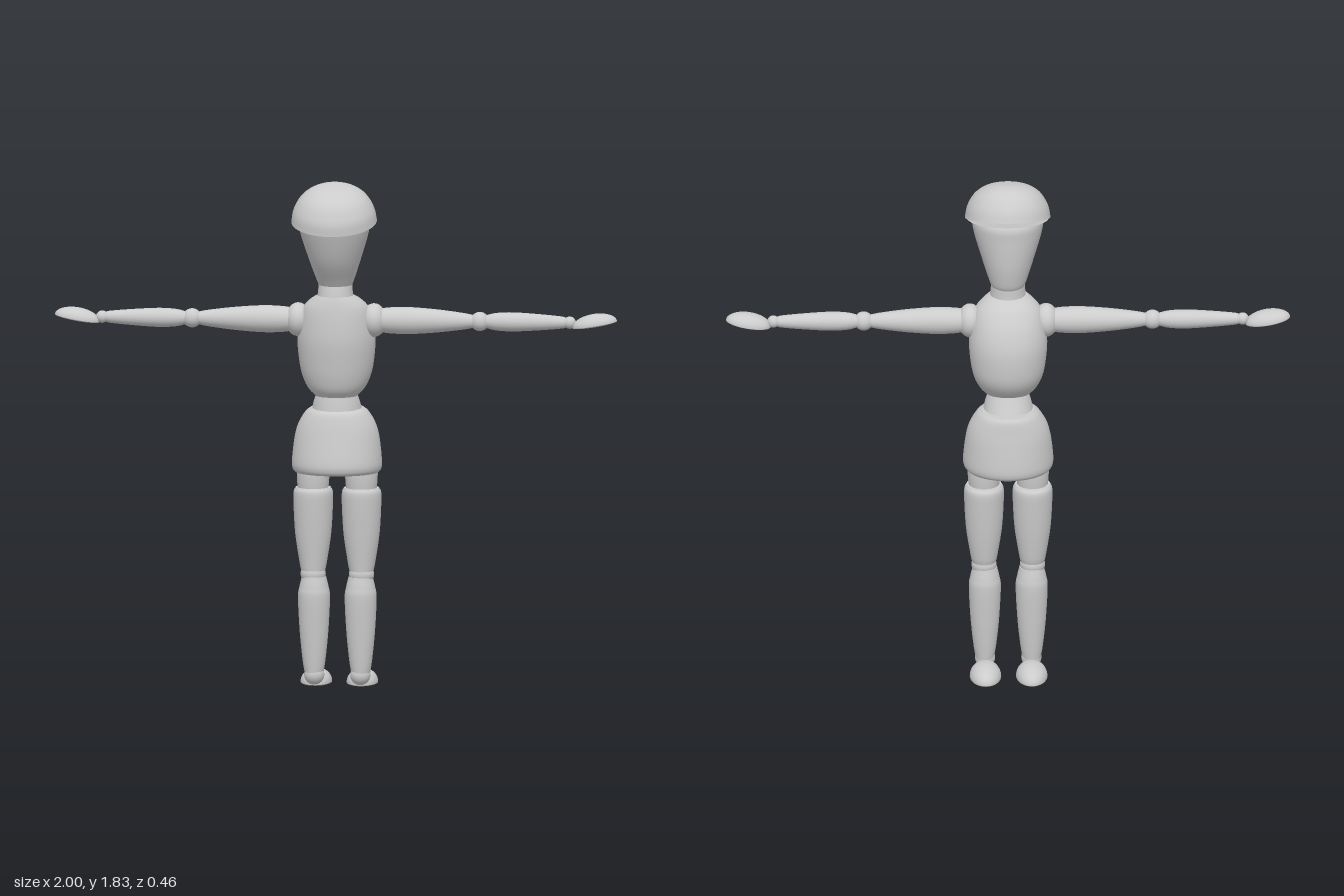
import * as THREE from 'three';

const grey = new THREE.MeshStandardMaterial({ color: 0xcccccc });
const thin = new THREE.MeshStandardMaterial({ color: 0xcccccc, side: THREE.DoubleSide });

// Smooth body of elliptical rings; rows are [height, half width, half depth, centre z]
function loft(rows, closed = true, steps = 28, sides = 40) {
  const size = new THREE.CatmullRomCurve3(rows.map(r => new THREE.Vector3(r[0], r[1], r[2])), false, 'catmullrom');
  const shift = new THREE.CatmullRomCurve3(rows.map(r => new THREE.Vector3(r[3] || 0, 0, 0)), false, 'catmullrom');
  const pos = [], idx = [];
  const ring = t => {
    const p = size.getPoint(t), c = shift.getPoint(t).x;
    for (let j = 0; j < sides; j++) {
      const a = (j / sides) * Math.PI * 2;
      pos.push(p.y * Math.sin(a), p.x, c + p.z * Math.cos(a));
    }
    return [0, p.x, c];
  };
  for (let i = 0; i <= steps; i++) ring(i / steps);
  for (let i = 0; i < steps; i++) {
    for (let j = 0; j < sides; j++) {
      const k = (j + 1) % sides, a = i * sides, b = a + sides;
      idx.push(a + j, a + k, b + k, a + j, b + k, b + j);
    }
  }
  // flat ends with their own vertices, so the rims stay sharp
  if (closed) {
    for (const t of [0, 1]) {
      const start = pos.length / 3;
      pos.push(...ring(t));
      for (let j = 0; j < sides; j++) {
        const a = start + j, b = start + (j + 1) % sides, c = start + sides;
        idx.push(c, t ? a : b, t ? b : a);
      }
    }
  }
  const g = new THREE.BufferGeometry();
  g.setAttribute('position', new THREE.Float32BufferAttribute(pos, 3));
  g.setIndex(idx);
  g.computeVertexNormals();
  return g;
}

// Ellipsoid
function ball(rx, ry, rz) {
  return new THREE.SphereGeometry(1, 32, 20).scale(rx, ry, rz);
}

// Ellipsoid with its lower half pressed nearly flat
function dome(rx, ry, rz) {
  const g = ball(rx, ry, rz), p = g.attributes.position;
  for (let i = 0; i < p.count; i++) if (p.getY(i) < 0) p.setY(i, p.getY(i) * 0.2);
  g.computeVertexNormals();
  return g;
}

function add(parent, name, geometry, x = 0, y = 0, z = 0, material = grey) {
  const mesh = new THREE.Mesh(geometry, material);
  mesh.name = name;
  mesh.position.set(x, y, z);
  parent.add(mesh);
  return mesh;
}

function group(parent, name) {
  const g = new THREE.Group();
  g.name = name;
  parent.add(g);
  return g;
}

function buildArm(parent, s) {
  const arm = group(parent, s > 0 ? 'leftArm' : 'rightArm');
  arm.position.set(0, 1.326, 0.003);
  const along = (name, rows) => { add(arm, name, loft(rows)).rotation.z = -s * Math.PI / 2; };
  add(arm, 'shoulder', ball(0.045, 0.06, 0.06), s * 0.135);
  along('upperArm', [[0.15, 0.04, 0.04], [0.19, 0.046, 0.046], [0.26, 0.048, 0.047],
    [0.36, 0.041, 0.041], [0.45, 0.03, 0.03], [0.488, 0.023, 0.023]]);
  add(arm, 'elbow', ball(0.034, 0.034, 0.034), s * 0.512);
  along('forearm', [[0.535, 0.023, 0.023], [0.57, 0.031, 0.031], [0.63, 0.034, 0.034],
    [0.72, 0.029, 0.029], [0.8, 0.022, 0.022], [0.818, 0.018, 0.018]]);
  add(arm, 'wrist', ball(0.022, 0.022, 0.022), s * 0.832);
  add(arm, 'hand', dome(0.081, 0.038, 0.05), s * 0.921, -0.006).rotation.z = s * 0.17;
}

function buildLeg(parent, s) {
  const leg = group(parent, s > 0 ? 'leftLeg' : 'rightLeg');
  leg.position.x = s * 0.086;
  add(leg, 'hipJoint', loft([[0.69, 0.05, 0.05, -0.048], [0.72, 0.055, 0.055, -0.048],
    [0.76, 0.058, 0.058, -0.048], [0.8, 0.057, 0.057, -0.048]]));
  add(leg, 'thigh', loft([[0.42, 0.043, 0.045, -0.05], [0.45, 0.049, 0.05, -0.052], [0.55, 0.064, 0.062, -0.053],
    [0.65, 0.07, 0.071, -0.053], [0.7, 0.07, 0.073, -0.053], [0.718, 0.062, 0.064, -0.052]]));
  add(leg, 'knee', ball(0.045, 0.04, 0.043), 0, 0.407, -0.05);
  add(leg, 'shin', loft([[0.05, 0.033, 0.037, -0.051], [0.1, 0.041, 0.042, -0.051], [0.2, 0.051, 0.05, -0.051],
    [0.32, 0.057, 0.057, -0.05], [0.36, 0.052, 0.053, -0.05], [0.398, 0.043, 0.044, -0.05]]), -s * 0.003);
  add(leg, 'ankle', ball(0.036, 0.037, 0.037), -s * 0.004, 0.046, -0.049);
  add(leg, 'foot', dome(0.056, 0.048, 0.095), -s * 0.004, 0.0096, -0.132);
}

function buildCap(parent) {
  const cap = group(parent, 'cap');
  cap.position.set(0, 1.691, 0.08);
  cap.rotation.x = 0.241;
  add(cap, 'crown', loft([[0, 0.152, 0.152, 0], [0.035, 0.146, 0.146, -0.002], [0.063, 0.134, 0.133, -0.005],
    [0.09, 0.114, 0.114, -0.008], [0.111, 0.084, 0.084, -0.011], [0.123, 0.047, 0.047, -0.014],
    [0.126, 0.0005, 0.0005, -0.016]], false), 0, 0, 0, thin);
  // flat visor: a rounded tongue in the plane of the crown's rim
  const pts = [];
  for (let i = 0; i <= 32; i++) {
    const a = (i / 32) * Math.PI;
    pts.push(new THREE.Vector2(0.146 * Math.cos(a), 0.247 * Math.pow(Math.sin(a), 0.9)));
  }
  add(cap, 'visor', new THREE.ShapeGeometry(new THREE.Shape(pts)).rotateX(-Math.PI / 2), 0, 0.001, 0, thin);
}

export function createModel() {
  const model = new THREE.Group();
  model.name = 'jointedFigure';
  const body = group(model, 'body');
  body.position.x = -0.004;

  add(body, 'head', loft([[1.45, 0.057, 0.057, 0.024], [1.475, 0.067, 0.071, 0.027], [1.55, 0.092, 0.104, 0.046],
    [1.65, 0.122, 0.128, 0.065], [1.7, 0.125, 0.132, 0.071], [1.74, 0.1, 0.1, 0.072]]));
  add(body, 'neck', loft([[1.39, 0.068, 0.066, 0.028], [1.42, 0.063, 0.063, 0.028], [1.455, 0.06, 0.059, 0.025]]));
  add(body, 'torso', loft([[1.053, 0.074, 0.068, -0.01], [1.08, 0.1, 0.093, -0.014], [1.12, 0.12, 0.113, -0.021],
    [1.17, 0.132, 0.123, -0.022], [1.25, 0.139, 0.128, -0.017], [1.32, 0.132, 0.117, -0.008],
    [1.37, 0.118, 0.1, 0.003], [1.4, 0.092, 0.085, 0.012], [1.418, 0.066, 0.064, 0.027]]));
  add(body, 'waist', loft([[0.995, 0.09, 0.092, -0.035], [1.03, 0.082, 0.081, -0.029], [1.065, 0.07, 0.07, -0.024]]));
  add(body, 'pelvis', loft([[0.777, 0.149, 0.132, -0.037], [0.79, 0.158, 0.141, -0.036], [0.82, 0.16, 0.143, -0.036],
    [0.9, 0.151, 0.131, -0.04], [0.95, 0.137, 0.122, -0.042], [0.99, 0.113, 0.113, -0.045],
    [1.006, 0.093, 0.1, -0.048]]));
  buildCap(body);
  for (const s of [1, -1]) {
    buildArm(body, s);
    buildLeg(body, s);
  }
  return model;
}
